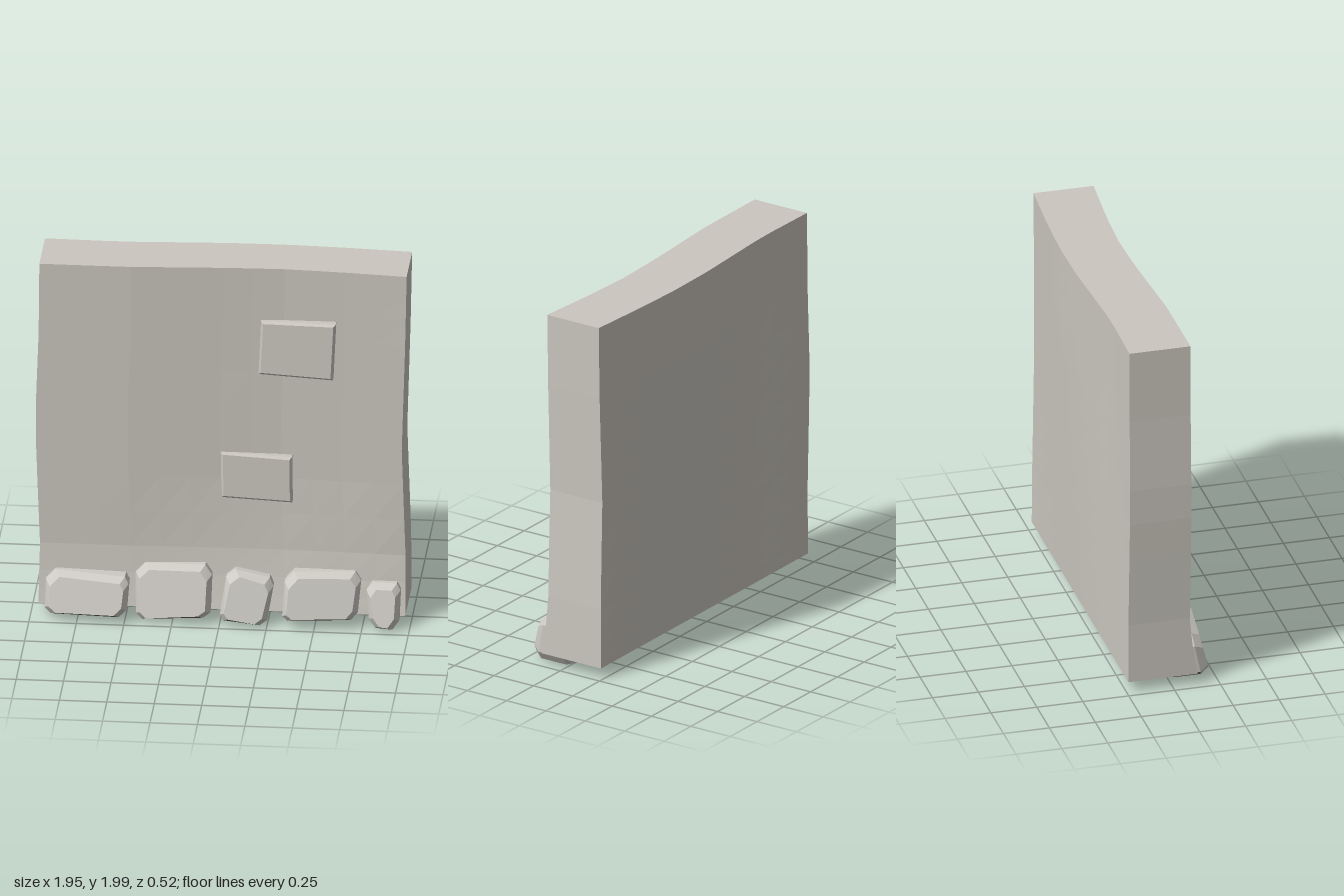
import * as THREE from 'three';
import { ConvexGeometry } from 'three/addons/geometries/ConvexGeometry.js';

const plaster = new THREE.MeshStandardMaterial({ color: 0xcbc7bf, flatShading: true });
plaster.name = 'plaster';
const stoneGrey = new THREE.MeshStandardMaterial({ color: 0xcecbc5, flatShading: true });
stoneGrey.name = 'stone grey';
const underside = new THREE.MeshStandardMaterial({ color: 0x6b6864, flatShading: true });
underside.name = 'dark underside';

const { lerp, clamp } = THREE.MathUtils;

// Piecewise linear lookup through [position, value] pairs
function along(pairs, t) {
  for (let i = 1; i < pairs.length; i++) {
    const [a, va] = pairs[i - 1], [b, vb] = pairs[i];
    if (t <= b) return lerp(va, vb, clamp((t - a) / (b - a), 0, 1));
  }
  return pairs[pairs.length - 1][1];
}

const leftEdge = [[0.07, -0.96], [0.4, -0.955], [0.75, -0.968], [1.1, -0.98], [1.6, -0.962], [2, -0.958]];
const rightEdge = [[0.07, 0.974], [0.4, 0.972], [1, 0.952], [1.6, 0.97], [2, 0.978]];
const frontWave = [[-0.96, 0.097], [-0.5, 0.097], [0, 0.065], [0.3, 0.053], [0.6, 0.066], [0.97, 0.097]];
const backWave = [[-0.96, -0.235], [-0.55, -0.228], [0, -0.26], [0.3, -0.265], [0.6, -0.255], [0.97, -0.23]];

// Front of the wall: wavy above, flaring to a straight foot below
function wallFront(x, y) {
  const z = lerp(0.092, along(frontWave, x), clamp((y - 0.07) / 0.7, 0, 1));
  return z + 0.043 * Math.pow(clamp((0.4 - y) / 0.33, 0, 1), 1.4);
}

function makeWall() {
  const geo = new THREE.BoxGeometry(2, 2, 2, 12, 12, 1);
  const p = geo.attributes.position;
  const rows = [0.07, 0.15, 0.25, 0.4, 0.6, 0.8, 1, 1.2, 1.4, 1.6, 1.75, 1.9, 2];
  for (let i = 0; i < p.count; i++) {
    const y = rows[Math.round((p.getY(i) + 1) * 6)];
    const x = lerp(along(leftEdge, y), along(rightEdge, y), (p.getX(i) + 1) / 2);
    const back = lerp(-0.241, along(backWave, x), clamp((y - 0.07) / 1.5, 0, 1));
    p.setXYZ(i, x, y, p.getZ(i) > 0 ? wallFront(x, y) : back);
  }
  geo.computeVertexNormals();
  // Box sides come in the order +x, -x, +y, -y, +z, -z
  const mesh = new THREE.Mesh(geo, [plaster, plaster, plaster, underside, plaster, plaster]);
  mesh.name = 'wall';
  return mesh;
}

// Convex block from a front outline; rings are [inset, depth function]
function blockGeometry(outline, rings) {
  const cx = outline.reduce((s, q) => s + q[0], 0) / outline.length;
  const cy = outline.reduce((s, q) => s + q[1], 0) / outline.length;
  const pts = [];
  for (const [inset, depth] of rings) {
    for (const [x, y] of outline) {
      const dx = x - cx, dy = y - cy;
      const px = dx - Math.sign(dx) * Math.min(inset, Math.abs(dx));
      const py = dy - Math.sign(dy) * Math.min(inset, Math.abs(dy));
      pts.push(new THREE.Vector3(cx + px, cy + py, depth(px, py)));
    }
  }
  return new ConvexGeometry(pts);
}

// Put downward facing triangles into the second material group
function groupUnderside(geo) {
  const normal = geo.attributes.normal;
  for (let i = 0; i < normal.count; i += 3) geo.addGroup(i, 3, normal.getY(i) < -0.75 ? 1 : 0);
  return geo;
}

// Foundation stones: outline, front depth, sideways slope
const stones = [
  [[[-0.925, 0.06], [-0.89, 0.03], [-0.53, 0.04], [-0.49, 0.08], [-0.48, 0.22], [-0.5, 0.255], [-0.87, 0.265], [-0.92, 0.21]], 0.218, 0.13],
  [[[-0.445, 0.04], [-0.41, 0.01], [-0.09, 0.04], [-0.05, 0.07], [-0.045, 0.27], [-0.08, 0.32], [-0.4, 0.31], [-0.45, 0.26]], 0.188, 0.1],
  [[[0, 0.06], [0.02, 0.03], [0.21, 0.01], [0.25, 0.04], [0.28, 0.22], [0.26, 0.265], [0.08, 0.3], [0.03, 0.26]], 0.205, 0],
  [[[0.33, 0.07], [0.36, 0.045], [0.69, 0.05], [0.725, 0.09], [0.74, 0.26], [0.71, 0.305], [0.39, 0.305], [0.34, 0.25]], 0.2, -0.08],
  [[[0.785, 0.06], [0.82, 0.015], [0.91, 0.01], [0.945, 0.06], [0.95, 0.22], [0.93, 0.255], [0.8, 0.255], [0.77, 0.21]], 0.2, 0.06],
];

// Exposed bricks: outline, front depth, sideways slope
const bricks = [
  [[[0.195, 1.4], [0.59, 1.395], [0.605, 1.715], [0.208, 1.705]], 0.1, 0.095],
  [[[0, 0.685], [0.375, 0.68], [0.372, 0.938], [-0.005, 0.945]], 0.091, 0.07],
];

export function createModel() {
  const group = new THREE.Group();
  group.name = 'wallSection';
  group.add(makeWall());

  stones.forEach(([outline, z, slope], i) => {
    const geo = blockGeometry(outline, [
      [0.025, () => -0.045],
      [0, () => 0.02],
      [0, (x, y) => z - 0.045 + slope * x - 0.2 * y],
      [0.024, (x, y) => z + slope * x - 0.25 * y],
    ]);
    const stone = new THREE.Mesh(groupUnderside(geo), [stoneGrey, underside]);
    stone.name = `foundationStone${i + 1}`;
    group.add(stone);
  });

  bricks.forEach(([outline, z, slope], i) => {
    const brick = new THREE.Mesh(blockGeometry(outline, [
      [0, () => 0],
      [0, (x) => z - 0.012 + slope * x],
      [0.012, (x) => z + slope * x],
    ]), plaster);
    brick.name = `exposedBrick${i + 1}`;
    group.add(brick);
  });

  return group;
}
